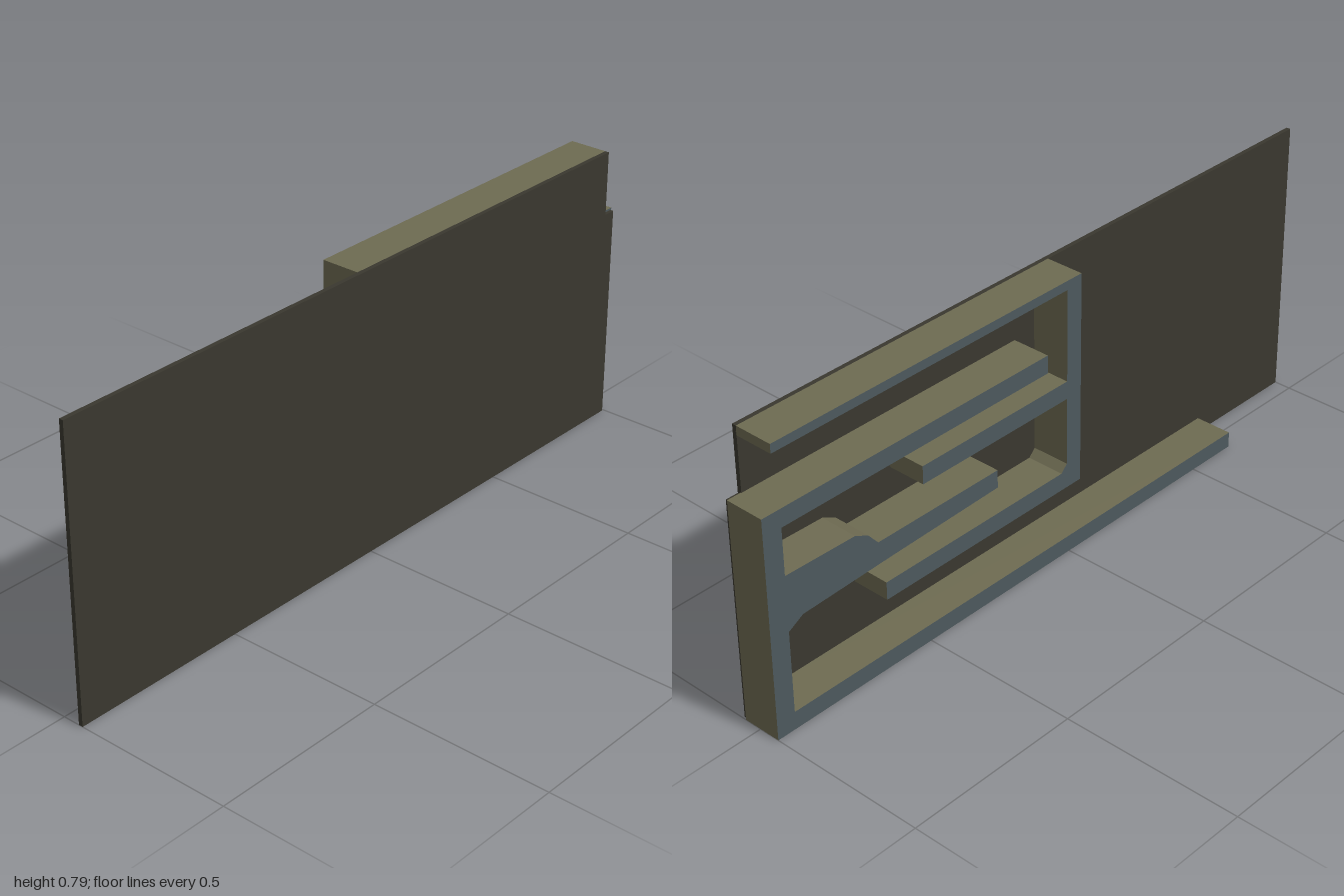
import * as THREE from 'three';

const BACK = -0.06, JOIN = 0.05, FRONT = 0.06;

const panelMat = new THREE.MeshStandardMaterial({ color: 0x3a382f });
panelMat.name = 'dark panel';
const wallMat = new THREE.MeshStandardMaterial({ color: 0x6e6b52 });
wallMat.name = 'olive wall';
const edgeMat = new THREE.MeshStandardMaterial({ color: 0x4d595d });
edgeMat.name = 'slate wall edge';

// Extrudes an outline in the xy plane between two depths
function plate(name, points, z0, z1, materials) {
  const shape = new THREE.Shape(points.map(([x, y]) => new THREE.Vector2(x, y)));
  const geometry = new THREE.ExtrudeGeometry(shape, { depth: z1 - z0, bevelEnabled: false });
  geometry.translate(0, 0, z0);
  const mesh = new THREE.Mesh(geometry, materials);
  mesh.name = name;
  return mesh;
}

export function createModel() {
  const group = new THREE.Group();
  group.name = 'mazePanel';

  // Thin front panel with a notch at its upper corner
  group.add(plate('frontPanel', [
    [-1, 0], [0.995, 0], [0.995, 0.61], [0.96, 0.61], [0.96, 0.79], [-1, 0.79],
  ], JOIN - 0.002, FRONT, panelMat));

  // Outer wall: long base bar, upright, stepped middle bar and upper bar
  group.add(plate('outerWall', [
    [-0.65, 0], [1, 0], [1, 0.615], [0.08, 0.615], [0.08, 0.565], [0.945, 0.565],
    [0.945, 0.435], [0.73, 0.43], [0.69, 0.41], [0.66, 0.375], [0.26, 0.375],
    [0.26, 0.325], [0.62, 0.315], [0.9, 0.305], [0.945, 0.28],
    [0.945, 0.05], [-0.65, 0.045],
  ], BACK, JOIN, [edgeMat, wallMat]));

  // Inner wall: top strip, upright and two bars reaching between the others
  group.add(plate('innerWall', [
    [-0.04, 0.2], [0.64, 0.2], [0.64, 0.25], [0.03, 0.25], [0.01, 0.27],
    [0.01, 0.46], [0.51, 0.46], [0.51, 0.51], [0.01, 0.51], [0.01, 0.765],
    [0.96, 0.765], [0.96, 0.79], [-0.04, 0.79],
  ], BACK, JOIN, [edgeMat, wallMat]));

  return group;
}
